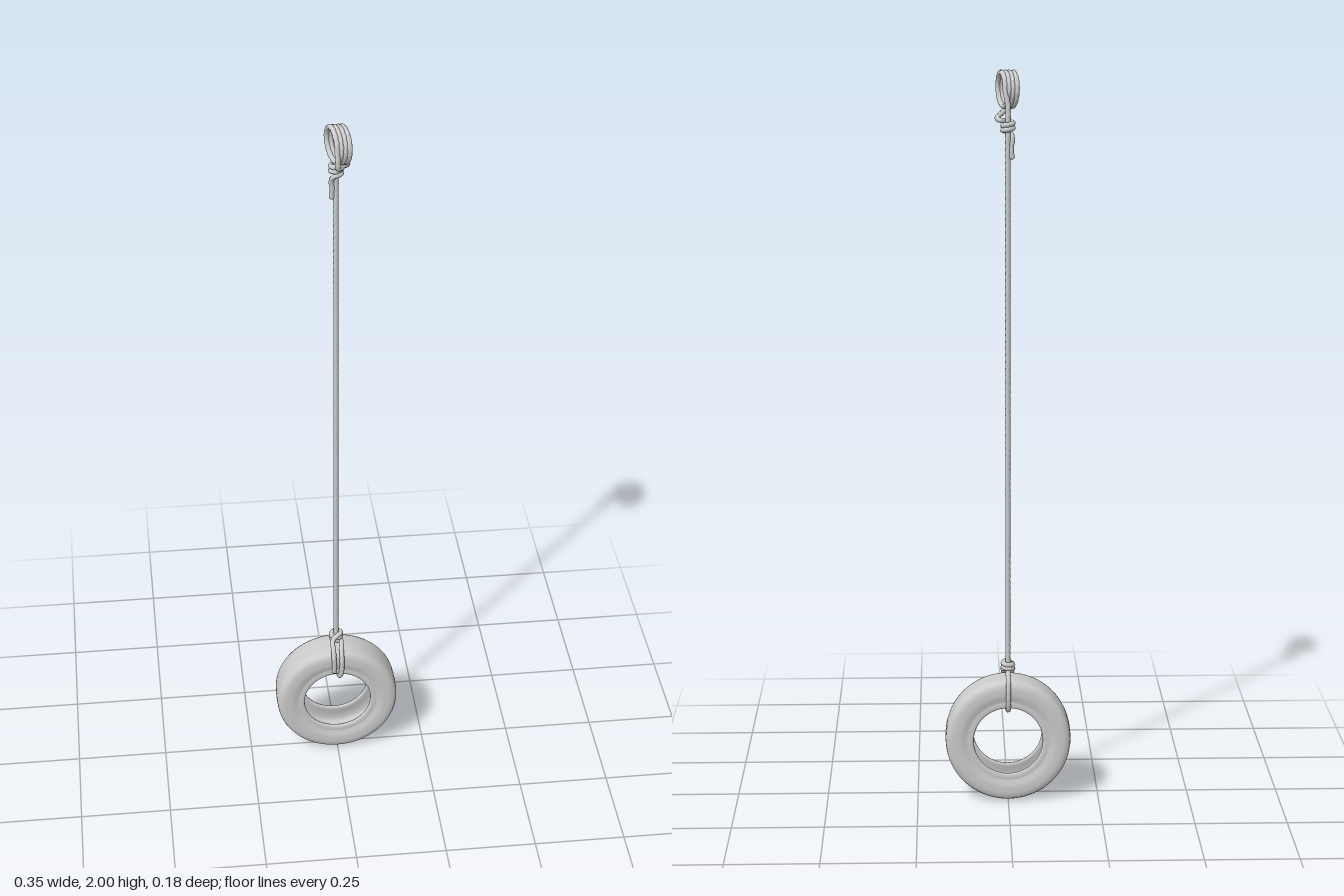
import * as THREE from 'three';

const V = (x, y, z) => new THREE.Vector3(x, y, z);
const ROPE_R = 0.0072, ROPE_Z = -0.018, TYRE_R = 0.173, TYRE_Z = -0.0205;

// Twisted three-strand rope swept along a smooth path, tapering shut at both ends
function rope(name, points, material) {
  const curve = new THREE.CatmullRomCurve3(points);
  curve.arcLengthDivisions = 2000;
  const length = curve.getLength();
  const segs = Math.ceil(length / 0.0045), sides = 15;
  const { normals, binormals } = curve.computeFrenetFrames(segs);
  const pos = [], index = [];
  for (let i = 0; i <= segs; i++) {
    const c = curve.getPointAt(i / segs);
    const twist = (i / segs) * length / 0.055 * Math.PI * 2;
    const end = i === 0 || i === segs ? 0.02 : 1;
    for (let k = 0; k < sides; k++) {
      const a = k / sides * Math.PI * 2;
      const lobe = Math.abs(Math.cos(1.5 * (a - twist)));
      const r = ROPE_R * end * (0.72 + 0.28 * Math.sqrt(lobe));
      const p = c.clone()
        .addScaledVector(normals[i], Math.cos(a) * r)
        .addScaledVector(binormals[i], Math.sin(a) * r);
      pos.push(p.x, p.y, p.z);
      if (i < segs) {
        const k2 = (k + 1) % sides, A = i * sides + k, B = i * sides + k2;
        index.push(A, B, A + sides, B, B + sides, A + sides);
      }
    }
  }
  const g = new THREE.BufferGeometry();
  g.setAttribute('position', new THREE.Float32BufferAttribute(pos, 3));
  g.setIndex(index);
  g.computeVertexNormals();
  const mesh = new THREE.Mesh(g, material);
  mesh.name = name;
  return mesh;
}

// Points winding around the hanging rope
function wrap(y0, y1, turns, startAngle, radius = 0.0135) {
  const pts = [], n = Math.ceil(turns * 10);
  for (let i = 0; i <= n; i++) {
    const t = i / n, a = startAngle + t * turns * Math.PI * 2;
    pts.push(V(Math.cos(a) * radius, y0 + (y1 - y0) * t, ROPE_Z + Math.sin(a) * radius));
  }
  return pts;
}

export function createModel() {
  const model = new THREE.Group();
  model.name = 'tyreSwing';
  const grey = new THREE.MeshStandardMaterial({ color: 0xcccccc });
  const shell = new THREE.MeshStandardMaterial({ color: 0xcccccc, side: THREE.DoubleSide });

  // Hollow tyre: half profile from inner liner over bead and sidewall to tread, then mirrored
  const half = [
    [0.158, 0], [0.157, 0.03], [0.151, 0.041], [0.14, 0.045], [0.12, 0.043], [0.104, 0.037],
    [0.097, 0.037], [0.095, 0.041], [0.096, 0.046], [0.1, 0.048], [0.11, 0.048], [0.113, 0.0465],
    [0.116, 0.049], [0.122, 0.049], [0.125, 0.0515], [0.135, 0.0525], [0.15, 0.0525],
    [0.16, 0.0505], [0.167, 0.046], [0.171, 0.038], [0.1725, 0.025], [TYRE_R, 0],
  ];
  const profile = half.map(([r, y]) => new THREE.Vector2(r, -y));
  for (const [r, y] of half.slice(0, -1).reverse()) profile.push(new THREE.Vector2(r, y));
  const tyre = new THREE.Mesh(new THREE.LatheGeometry(profile, 72), shell);
  tyre.name = 'tyre';
  tyre.rotation.x = Math.PI / 2;
  tyre.position.set(0, TYRE_R, TYRE_Z);
  model.add(tyre);

  // Hanging rope, continuing into the coil that wraps the branch
  const main = [];
  for (let i = 0; i <= 24; i++) main.push(V(0, 0.362 + i * 0.0645, ROPE_Z));
  const turns = 3.5, steps = 56;
  for (let i = 0; i <= steps; i++) {
    const t = i / steps, a = t * turns * Math.PI * 2;
    const dz = -0.0445 * Math.cos(a);
    main.push(V(0.018 - 0.036 * t + dz * 0.25, 1.948 + 0.0445 * Math.sin(a), 0.032 + dz));
  }
  // Free end drops from the coil, returns to the rope and ties off with a hanging tail
  main.push(
    V(-0.006, 1.925, 0.08), V(-0.005, 1.905, 0.078), V(0.002, 1.896, 0.062),
    V(0.014, 1.887, 0.03), V(0.027, 1.878, 0.002), V(0.024, 1.873, -0.016),
    ...wrap(1.872, 1.842, 2.4, -0.7).slice(1),
    V(-0.012, 1.825, -0.015), V(-0.009, 1.8, -0.018), V(-0.011, 1.768, -0.02),
  );
  model.add(rope('hangingRope', main, grey));

  // Loop around the top of the tyre, knotted onto the hanging rope
  const loop = [
    V(0, 0.362, -0.02), V(0, 0.36, -0.045), V(0, 0.35, -0.072), V(0, 0.33, -0.081),
    V(0, 0.29, -0.081), V(0, 0.268, -0.074), V(0.001, 0.262, -0.058), V(0.003, 0.262, 0.015),
    V(0.006, 0.268, 0.033), V(0.01, 0.29, 0.039), V(0.011, 0.33, 0.038), V(0.011, 0.352, 0.026),
    V(0.013, 0.362, 0.004),
    ...wrap(0.364, 0.386, 2.1, 0.4),
    V(-0.012, 0.374, 0.006), V(-0.012, 0.357, 0.028), V(-0.012, 0.335, 0.04),
    V(-0.011, 0.31, 0.041), V(-0.011, 0.283, 0.04),
  ];
  model.add(rope('tyreLoop', loop, grey));

  return model;
}
